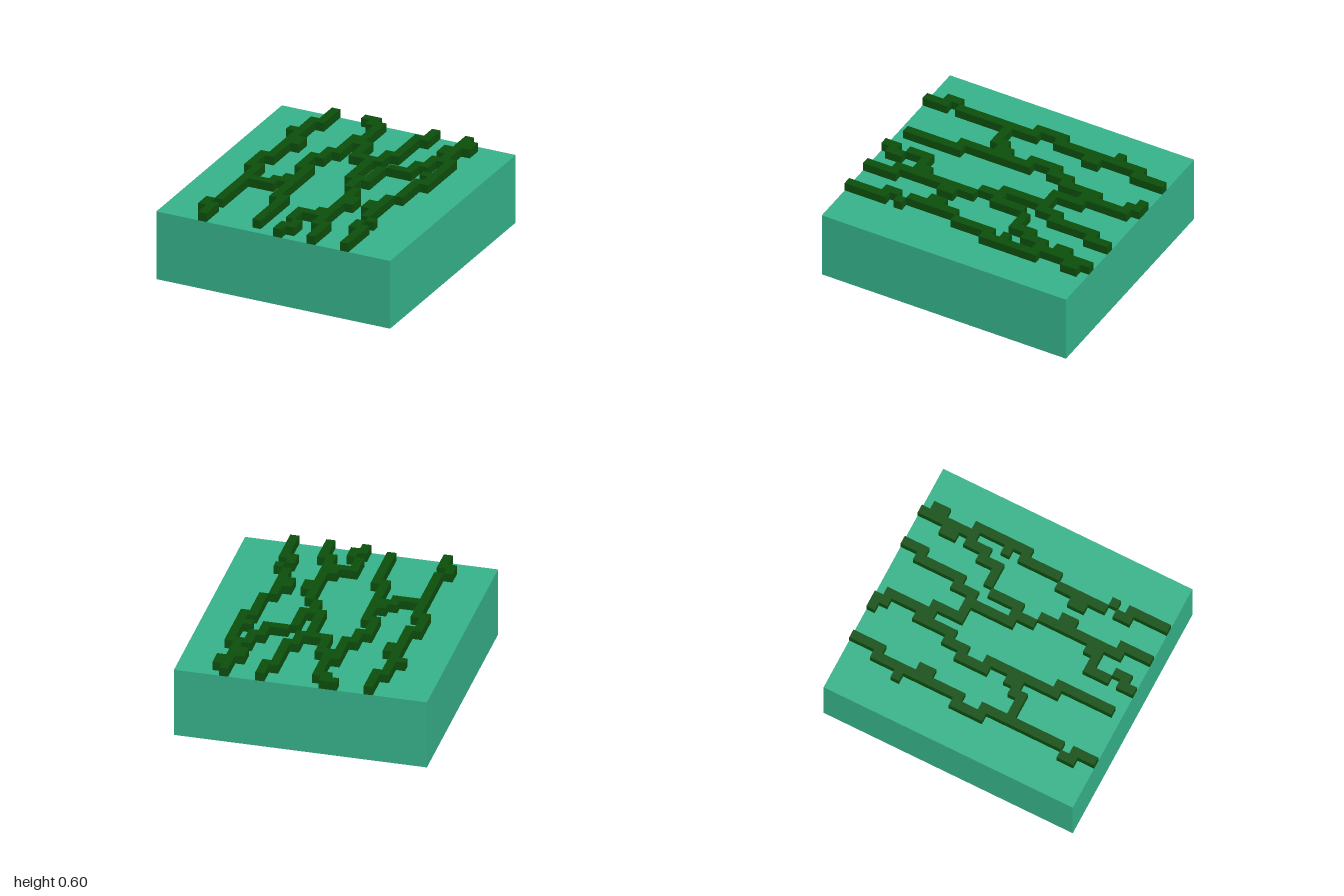
import * as THREE from 'three';
import { mergeGeometries } from 'three/addons/utils/BufferGeometryUtils.js';

const U = 1 / 15; // one grid cell
const COLS = 28, ROWS = 30, BASE_H = 8;

// Each vine is a list of runs along z: [column, first row, last row]
const vines = {
  leftVine: [
    [6, 0, 3], [5, 3, 13], [4, 6, 6], [6, 8, 9], [4, 13, 16], [5, 16, 25],
    [4, 26, 27], [5, 27, 29], [6, 19, 19], [7, 19, 19], [8, 18, 19], [9, 17, 18],
  ],
  middleVine: [
    [10, 0, 0], [11, 0, 1], [12, 1, 6], [11, 5, 9], [10, 9, 11], [9, 11, 14],
    [10, 14, 22], [11, 22, 28], [13, 6, 9], [14, 9, 9],
  ],
  rightVine: [
    [18, 0, 2], [17, 2, 7], [16, 7, 9], [15, 9, 14], [16, 14, 16], [17, 11, 14],
    [17, 17, 26], [18, 19, 20], [18, 26, 29], [16, 23, 24], [15, 24, 24],
    [14, 24, 26], [15, 27, 28], [14, 28, 29],
  ],
  outerVine: [
    [22, 0, 6], [23, 1, 2], [21, 3, 4], [23, 6, 12], [21, 6, 8], [20, 8, 10],
    [19, 10, 10], [18, 10, 10], [22, 10, 10], [22, 12, 16], [21, 17, 22],
    [20, 19, 20], [22, 23, 23], [21, 24, 25], [22, 25, 29],
  ],
};

// One box covering a run of cells on top of the block
function runBox([col, r0, r1]) {
  const len = r1 - r0 + 1;
  return new THREE.BoxGeometry(U, U, len * U).translate(
    (col + 0.5 - COLS / 2) * U,
    (BASE_H + 0.5) * U,
    (r0 + len / 2 - ROWS / 2) * U
  );
}

export function createModel() {
  const group = new THREE.Group();
  const jade = new THREE.MeshStandardMaterial({ color: 0x37b58c });
  jade.name = 'jade green';
  const dark = new THREE.MeshStandardMaterial({ color: 0x0d500d });
  dark.name = 'dark green';

  // Solid base block
  const base = new THREE.Mesh(new THREE.BoxGeometry(COLS * U, BASE_H * U, ROWS * U), jade);
  base.name = 'baseBlock';
  base.position.y = BASE_H * U / 2;
  group.add(base);

  // Raised vines on the top face
  for (const [name, runs] of Object.entries(vines)) {
    const vine = new THREE.Mesh(mergeGeometries(runs.map(runBox)), dark);
    vine.name = name;
    group.add(vine);
  }
  return group;
}
